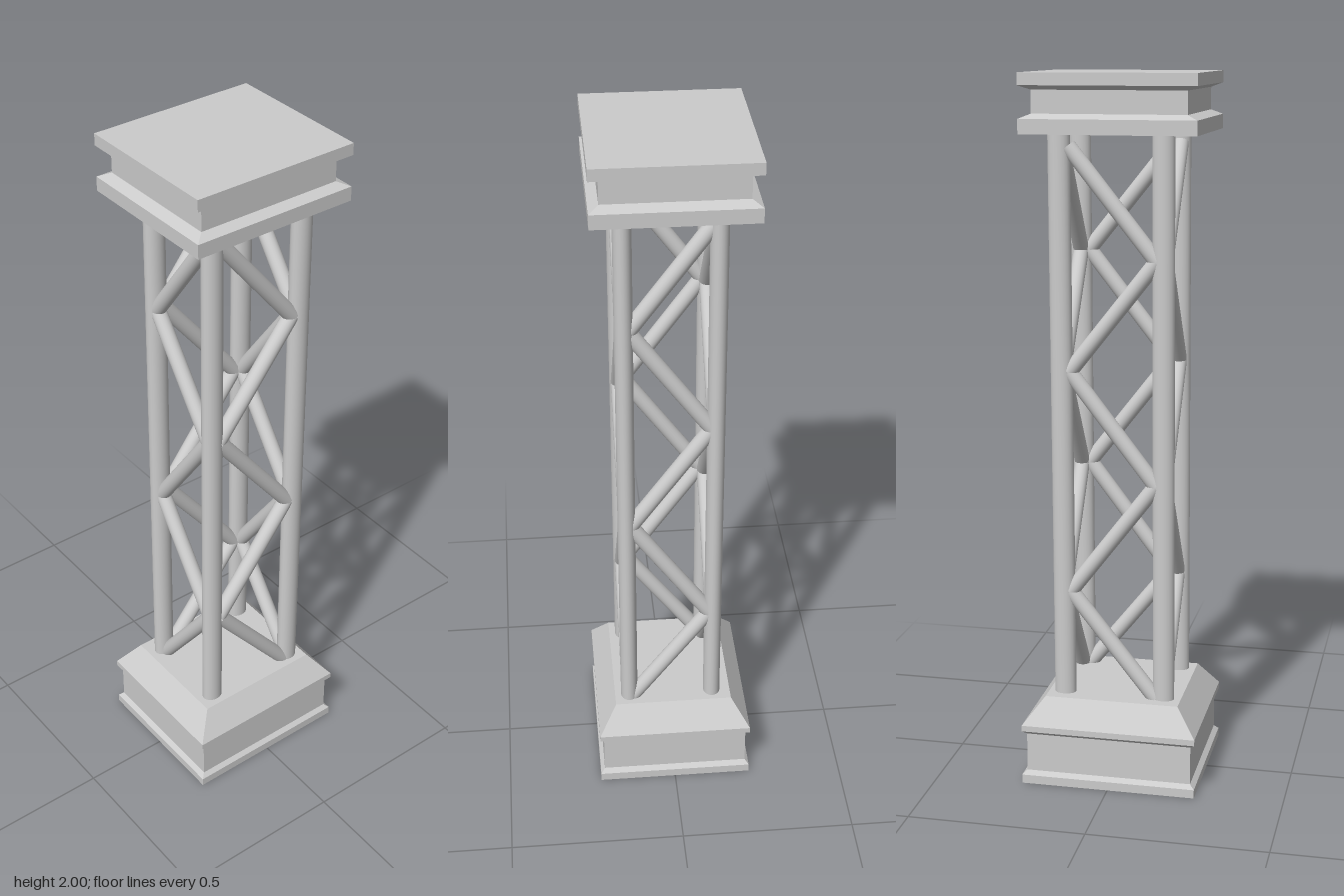
import * as THREE from 'three';

const smooth = new THREE.MeshStandardMaterial({ color: 0xcccccc });
const flat = new THREE.MeshStandardMaterial({ color: 0xcccccc, flatShading: true });

// Rectangular moulded block: profile of [half width, y], bottom to top
function block(name, profile) {
  const pts = profile.map(([w, y]) => new THREE.Vector2(w * Math.SQRT2, y));
  const geo = new THREE.LatheGeometry(pts, 4).toNonIndexed();
  geo.rotateY(Math.PI / 4).scale(1, 1, 0.9);
  geo.computeVertexNormals();
  const mesh = new THREE.Mesh(geo, flat);
  mesh.name = name;
  return mesh;
}

// Round bar between two points, with its own thickness in x and z
const barGeometry = new THREE.CylinderGeometry(1, 1, 1, 20);
function bar(name, a, b, rx, rz = rx) {
  const mesh = new THREE.Mesh(barGeometry, smooth);
  const dir = b.clone().sub(a);
  mesh.scale.set(rx, dir.length(), rz);
  mesh.position.copy(a).add(b).multiplyScalar(0.5);
  mesh.quaternion.setFromUnitVectors(new THREE.Vector3(0, 1, 0), dir.normalize());
  mesh.name = name;
  return mesh;
}

export function createModel() {
  const model = new THREE.Group();
  model.name = 'latticeColumn';
  const v = (x, y, z) => new THREE.Vector3(x, y, z);

  // Base plinth and capital
  model.add(block('base', [[0, 0], [0.25, 0], [0.25, 0.025], [0.237, 0.037], [0.237, 0.148],
    [0.25, 0.158], [0.25, 0.175], [0.192, 0.25], [0, 0.25]]));
  model.add(block('capital', [[0, 1.84], [0.24, 1.84], [0.24, 1.88], [0.21, 1.893], [0.21, 1.955],
    [0.24, 1.967], [0.24, 2], [0, 2]]));

  // Four posts, leaning very slightly
  const X = { '-1': -0.138, 1: 0.149 };
  const Z = { '-1': -0.118, 1: 0.13 };
  for (const sx of [-1, 1]) for (const sz of [-1, 1]) {
    model.add(bar('post', v(X[sx] - 0.004, 0.24, Z[sz]), v(X[sx] + 0.004, 1.85, Z[sz]), 0.031, 0.025));
  }

  // Zigzag braces on each face, alternating between neighbouring posts
  const levels = [1.805, 1.5, 1.19, 0.875, 0.555, 0.25];
  const r = 0.022;
  for (const s of [-1, 1]) {
    const across = (i) => v(0.005 + (i % 2 ? s : -s) * 0.122, levels[i], Z[s]);
    const along = (i) => v(X[s], levels[i], 0.006 + (i % 2 ? s : -s) * 0.113);
    for (let i = 0; i < levels.length - 1; i++) {
      model.add(bar(s > 0 ? 'frontBrace' : 'backBrace', across(i), across(i + 1), r));
      model.add(bar(s > 0 ? 'leftBrace' : 'rightBrace', along(i), along(i + 1), r));
    }
  }
  return model;
}
